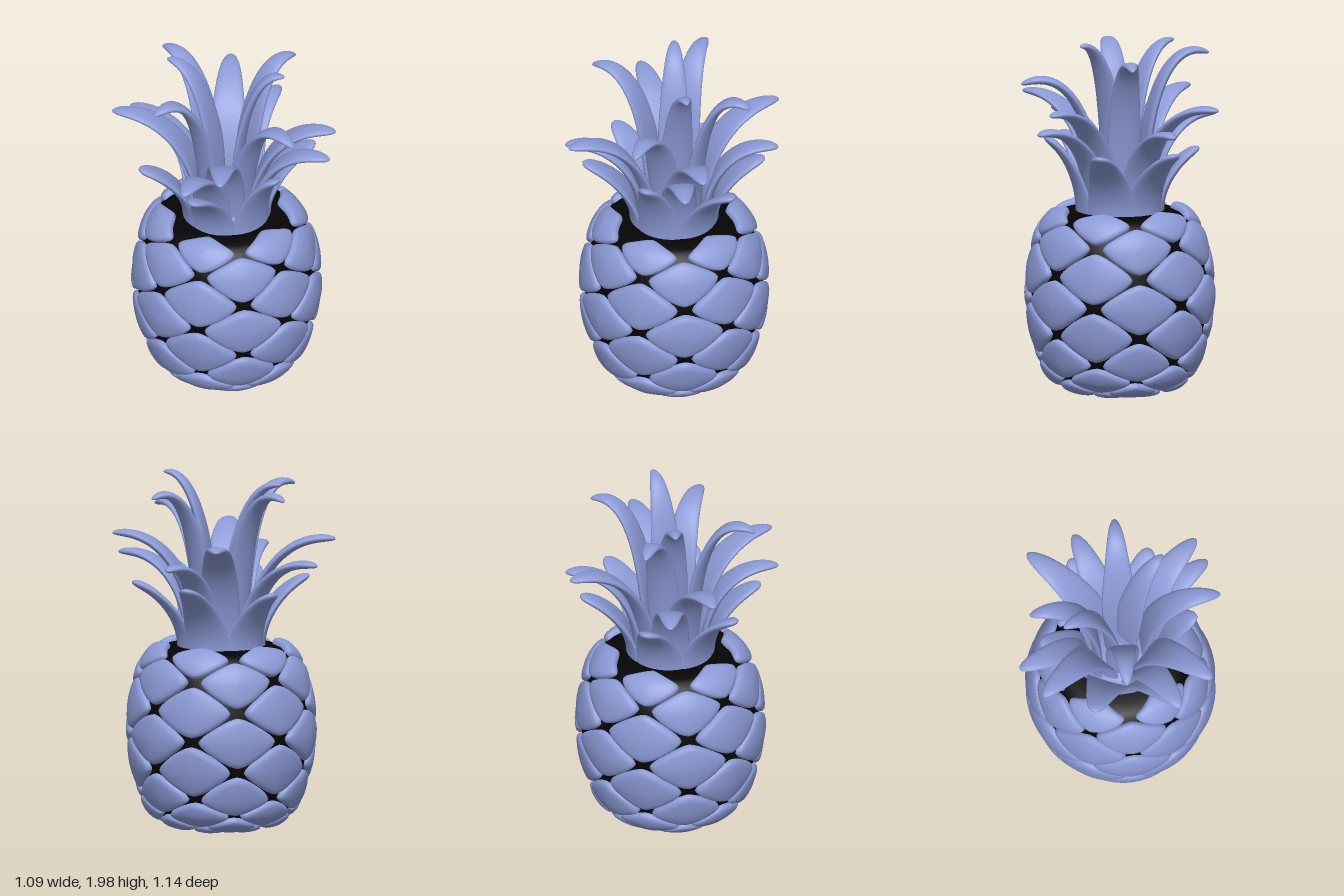
import * as THREE from 'three';

const skin = new THREE.MeshStandardMaterial({ color: 0x8c9ad6 });
const dark = new THREE.MeshStandardMaterial({ color: 0x050505 });
const CENTRE_Z = 0.015;

// Outer body outline (radius, height), measured by arc length from the bottom pole
const outline = new THREE.SplineCurve([
  [0, 0.008], [0.2, 0.012], [0.33, 0.045], [0.415, 0.12], [0.46, 0.22], [0.5, 0.37], [0.522, 0.55],
  [0.505, 0.74], [0.465, 0.9], [0.4, 1.0], [0.3, 1.05], [0, 1.07],
].map(([r, y]) => new THREE.Vector2(r, y)));
outline.arcLengthDivisions = 400;
const outlineLength = outline.getLength();

// Point on the outline at arc length s, pushed along the outward normal by h
function outlinePoint(s, h) {
  const u = THREE.MathUtils.clamp(s / outlineLength, 0, 1);
  const p = outline.getPointAt(u);
  const t = outline.getTangentAt(u);
  return new THREE.Vector2(Math.max(p.x + t.y * h, 0), p.y - t.x * h);
}

// Closed skin over rings of points; point(ring, angle) returns [x, y, z]
function loft(rings, sides, point) {
  const pos = [], idx = [];
  for (let i = 0; i < rings; i++) {
    for (let j = 0; j < sides; j++) {
      pos.push(...point(i, (j / sides) * Math.PI * 2));
      if (i === rings - 1) continue;
      const a = i * sides + j, b = i * sides + (j + 1) % sides;
      idx.push(a, b, a + sides, b, b + sides, a + sides);
    }
  }
  const geo = new THREE.BufferGeometry();
  geo.setAttribute('position', new THREE.Float32BufferAttribute(pos, 3));
  geo.setIndex(idx);
  geo.computeVertexNormals();
  return geo;
}

// Pillow-shaped, blunt-cornered diamond scale: [size, height] from hidden rim to centre
const pillow = [[0.92, -0.06], [0.98, -0.045], [1, -0.03], [0.975, -0.014],
  [0.9, -0.004], [0.75, 0.001], [0.5, 0.004], [0.25, 0.006], [0, 0.007]];
function scaleGeometry(low, mid, high, fill) {
  return loft(pillow.length, 48, (i, phi) => {
    const [size, h] = pillow[i];
    const c = Math.cos(phi), s = Math.sin(phi);
    const edge = (Math.abs(c) + Math.abs(s)) / 1.01;
    const reach = size * fill * Math.pow(Math.pow(edge, 9) + Math.pow(1 / 0.87, 9), -1 / 9);
    const y = s * reach;
    const p = outlinePoint(mid + y * (y > 0 ? high - mid : mid - low), h);
    const a = c * reach * Math.PI / 6;
    return [p.x * Math.sin(a), p.y, p.x * Math.cos(a)];
  });
}

// Leaf growing upward at radius r0, then arching out to its tip
function leafGeometry(R, H, { r0, rise, out, lift, width, taper, waist }) {
  const y0 = 1.02, rings = 32;
  const path = new THREE.CubicBezierCurve(
    new THREE.Vector2(r0, y0),
    new THREE.Vector2(r0, y0 + (H - y0) * rise),
    new THREE.Vector2(r0 + (R - r0) * out, H + lift),
    new THREE.Vector2(R, H));
  return loft(rings, 20, (i, phi) => {
    const t = Math.sin((i / (rings - 1)) * Math.PI / 2); // denser near the tip
    const p = path.getPointAt(t), d = path.getTangentAt(t);
    const round = Math.sqrt(Math.max(1 - Math.pow(t, 16), 0));
    const base = THREE.MathUtils.lerp(waist, 1, THREE.MathUtils.smoothstep(t, 0, 0.5));
    const half = width * base * (1 - 0.66 * Math.pow(t, taper)) * round;
    const x = half * Math.cos(phi);
    const n = 0.024 * round * Math.sin(phi) + 1.7 * (1 - 0.6 * t) * x * x;
    return [x, p.y + d.x * n, p.x - d.y * n];
  });
}

export function createModel() {
  const model = new THREE.Group();
  const add = (name, geo, mat, parent = model) => {
    const mesh = new THREE.Mesh(geo, mat);
    mesh.name = name;
    parent.add(mesh);
    return mesh;
  };

  // Dark core seen in the gaps
  const core = [];
  for (let i = 0; i <= 48; i++) core.push(outlinePoint((i / 48) * outlineLength, -0.034));
  core[0].x = core[48].x = 0;
  add('core', new THREE.LatheGeometry(core, 64), dark);

  // Staggered rows of six scales; each row reaches its neighbours' middles
  const scales = new THREE.Group();
  scales.name = 'scales';
  model.add(scales);
  const nodes = [0.09, 0.21, 0.335, 0.44, 0.553, 0.72, 0.897, 1.062, 1.236, 1.385, 1.52];
  for (let k = 1; k < nodes.length - 1; k++) {
    const geo = scaleGeometry(nodes[k - 1], nodes[k], nodes[k + 1], k < 3 ? 0.95 : 1);
    for (let j = 0; j < 6; j++) {
      add('scale', geo, skin, scales).rotation.y = (j + (k % 2 ? 0 : 0.5)) * Math.PI / 3;
    }
  }

  // Crown: base plug and tiers of leaves given by tip x, z and sometimes height
  const crown = new THREE.Group();
  crown.name = 'crown';
  model.add(crown);
  const plug = [[0.215, 1.0], [0.215, 1.06], [0.18, 1.1], [0.1, 1.15], [0, 1.17]];
  add('crownBase', new THREE.LatheGeometry(plug.map(([r, y]) => new THREE.Vector2(r, y)), 48), skin, crown);
  const tiers = [
    { r0: 0.22, rise: 0.42, out: 0.47, H: 1.39, lift: -0.05, width: 0.135, taper: 1.4, waist: 1,
      tips: [[0, 0.44, 1.44], [0.45, 0.24], [0.45, -0.2], [0, -0.43, 1.35], [-0.45, -0.2], [-0.45, 0.24]] },
    { r0: 0.18, rise: 0.6, out: 0.4, H: 1.505, lift: 0.04, width: 0.115, taper: 1.7, waist: 0.9,
      tips: [[0.545, -0.165], [-0.54, 0.27], [0.29, 0.54], [-0.19, -0.57]] },
    { r0: 0.155, rise: 0.62, out: 0.4, H: 1.625, lift: 0.03, width: 0.12, taper: 1.8, waist: 0.9,
      tips: [[-0.41, -0.47], [0.43, -0.44], [-0.44, 0.46], [0.38, 0.49]] },
    { r0: 0.13, rise: 0.68, out: 0.36, H: 1.87, lift: 0.11, width: 0.102, taper: 2.3, waist: 0.75,
      tips: [[-0.5, -0.02], [0.47, 0.05], [-0.02, -0.49], [0, 0.57, 1.74]] },
    { r0: 0.055, rise: 0.65, out: 0.4, H: 1.97, lift: 0.03, width: 0.1, taper: 2.3, waist: 0.65,
      tips: [[0.19, 0.28], [-0.14, -0.32, 1.93]] },
  ];
  for (const tier of tiers) {
    for (const [x, z, y = tier.H] of tier.tips) {
      const dz = z - CENTRE_Z;
      const leaf = add('leaf', leafGeometry(Math.hypot(x, dz), y, tier), skin, crown);
      leaf.rotation.y = Math.atan2(x, dz);
    }
  }

  model.position.z = CENTRE_Z;
  const root = new THREE.Group();
  root.name = 'pineapple';
  root.add(model);
  return root;
}
